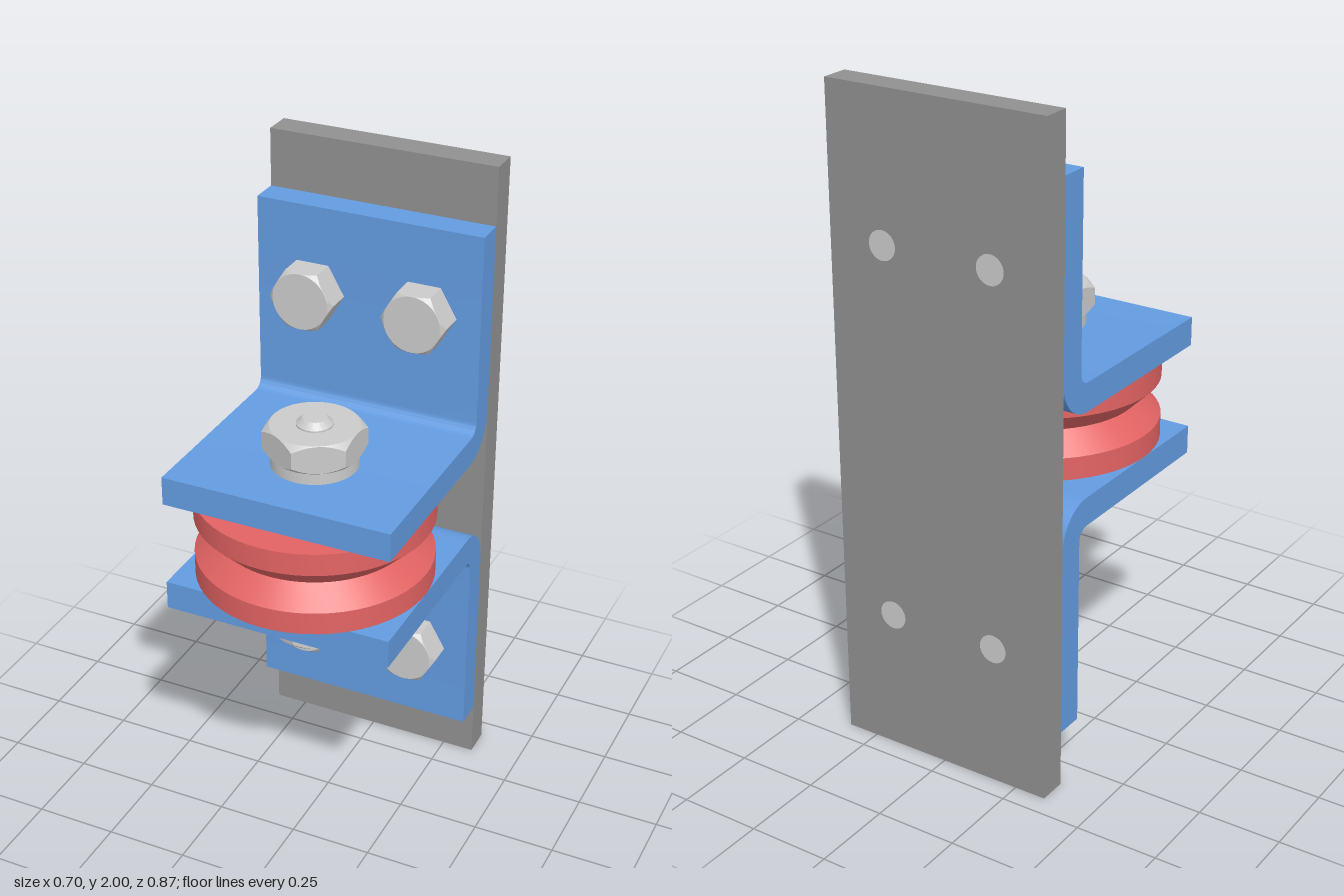
import * as THREE from 'three';
import { toCreasedNormals } from 'three/addons/utils/BufferGeometryUtils.js';

const W = 0.348;       // half width of plate and brackets
const T = 0.087;       // sheet thickness
const AXLE_Z = 0.087;  // pulley axis
const HOLE_R = 0.0435;

const steel = new THREE.MeshStandardMaterial({ color: 0xcccccc });
const dark = new THREE.MeshStandardMaterial({ color: 0x909090 });
const blue = new THREE.MeshStandardMaterial({ color: 0x639be0 });
const red = new THREE.MeshStandardMaterial({ color: 0xe36363 });

function add(parent, name, geometry, material) {
  const mesh = new THREE.Mesh(geometry, material);
  mesh.name = name;
  parent.add(mesh);
  return mesh;
}

function lathe(points) {
  const pts = points.map(([r, y]) => new THREE.Vector2(r, y));
  return toCreasedNormals(new THREE.LatheGeometry(pts, 64), 0.4);
}

// Hexagonal prism along y, its corners trimmed by a cone at the top and optionally the bottom
function hexGeometry(apothem, y0, y1, bottomChamfer) {
  const n = 60, flat = apothem * 0.99, slope = 0.9;
  const pos = [], idx = [];
  for (let ring = 0; ring < 6; ring++) {
    for (let j = 0; j <= n; j++) {
      const a = (j / n) * Math.PI * 2;
      const hex = apothem / Math.cos((a % (Math.PI / 3)) - Math.PI / 6);
      const drop = (hex - flat) * slope;
      const low = bottomChamfer ? drop : 0;
      const r = [0, bottomChamfer ? flat : hex, hex, hex, flat, 0][ring];
      const y = [y0, y0, y0 + low, y1 - drop, y1, y1][ring];
      pos.push(r * Math.cos(a), y, r * Math.sin(a));
      if (ring < 5 && j < n) {
        const p = ring * (n + 1) + j, q = p + n + 1;
        if (ring > 0) idx.push(p, q, p + 1);
        if (ring < 4) idx.push(p + 1, q, q + 1);
      }
    }
  }
  const g = new THREE.BufferGeometry();
  g.setAttribute('position', new THREE.Float32BufferAttribute(pos, 3));
  g.setIndex(idx);
  return toCreasedNormals(g, 0.4);
}

// Bent angle bracket, y measured from the pulley's middle
function bracketGeometry() {
  const s = new THREE.Shape();
  const bz = -0.226, by = 0.252;
  s.moveTo(W, 0.13);
  s.lineTo(W, 0.217);
  s.lineTo(bz, 0.217);
  s.absarc(bz, by, 0.035, -Math.PI / 2, -Math.PI, true);
  s.lineTo(-0.261, 0.826);
  s.lineTo(-W, 0.826);
  s.lineTo(-W, by);
  s.absarc(bz, by, 0.122, Math.PI, Math.PI * 1.5, false);
  s.closePath();
  const g = new THREE.ExtrudeGeometry(s, { depth: 2 * W, bevelEnabled: false, curveSegments: 14 });
  g.translate(0, 0, -W);
  g.rotateY(-Math.PI / 2);
  return toCreasedNormals(g, 0.4);
}

export function createModel() {
  const model = new THREE.Group();
  model.name = 'pulleyBlock';
  const boltSpots = [];
  for (const y of [0.435, 1.565]) for (const x of [-0.174, 0.174]) boltSpots.push([x, y]);

  // Back plate with bolt holes
  const plate = new THREE.Shape();
  plate.moveTo(-W, 0);
  plate.lineTo(W, 0);
  plate.lineTo(W, 2);
  plate.lineTo(-W, 2);
  plate.closePath();
  for (const [x, y] of boltSpots) {
    plate.holes.push(new THREE.Path().absarc(x, y, HOLE_R, 0, Math.PI * 2, true));
  }
  const plateGeo = new THREE.ExtrudeGeometry(plate, { depth: T, bevelEnabled: false, curveSegments: 24 });
  plateGeo.translate(0, 0, -0.435);
  add(model, 'backPlate', toCreasedNormals(plateGeo, 0.4), dark);

  // Upper bracket and its mirrored twin
  const bracketGeo = bracketGeometry();
  add(model, 'upperBracket', bracketGeo, blue).position.y = 1;
  const lower = add(model, 'lowerBracket', bracketGeo, blue);
  lower.position.y = 1;
  lower.rotation.z = Math.PI;

  // Grooved pulley wheel
  const wheel = add(model, 'pulleyWheel', lathe([
    [0.052, -0.13], [W, -0.13], [W, -0.0615], [0.286, 0], [W, 0.0615], [W, 0.13], [0.052, 0.13],
  ]), red);
  wheel.position.set(0, 1, AXLE_Z);

  // Axle bolt: shank, collars, nut on top, head below
  const axle = new THREE.Group();
  axle.name = 'axleBolt';
  axle.position.set(0, 1, AXLE_Z);
  axle.rotation.y = Math.PI / 6;
  model.add(axle);
  add(axle, 'axleShank', lathe([[0, -0.26], [0.053, -0.26], [0.053, 0.345], [0.035, 0.362], [0, 0.362]]), steel);
  const collar = lathe([[0, 0.217], [0.127, 0.217], [0.127, 0.253], [0, 0.253]]);
  add(axle, 'nutCollar', collar, steel);
  add(axle, 'headCollar', collar, steel).rotation.x = Math.PI;
  add(axle, 'axleNut', hexGeometry(0.13, 0.252, 0.34, true), steel);
  add(axle, 'axleHead', hexGeometry(0.13, 0.25, 0.336, false), steel).rotation.x = Math.PI;

  // Mounting bolts through bracket and plate
  const headGeo = hexGeometry(0.0868, 0, T, false);
  const shankGeo = new THREE.CylinderGeometry(HOLE_R, HOLE_R, 2 * T, 48).translate(0, -T, 0);
  for (const [x, y] of boltSpots) {
    const bolt = new THREE.Group();
    bolt.name = 'mountingBolt';
    bolt.position.set(x, y, -0.261);
    bolt.rotation.x = Math.PI / 2;
    add(bolt, 'boltHead', headGeo, steel);
    add(bolt, 'boltShank', shankGeo, steel);
    model.add(bolt);
  }
  return model;
}
